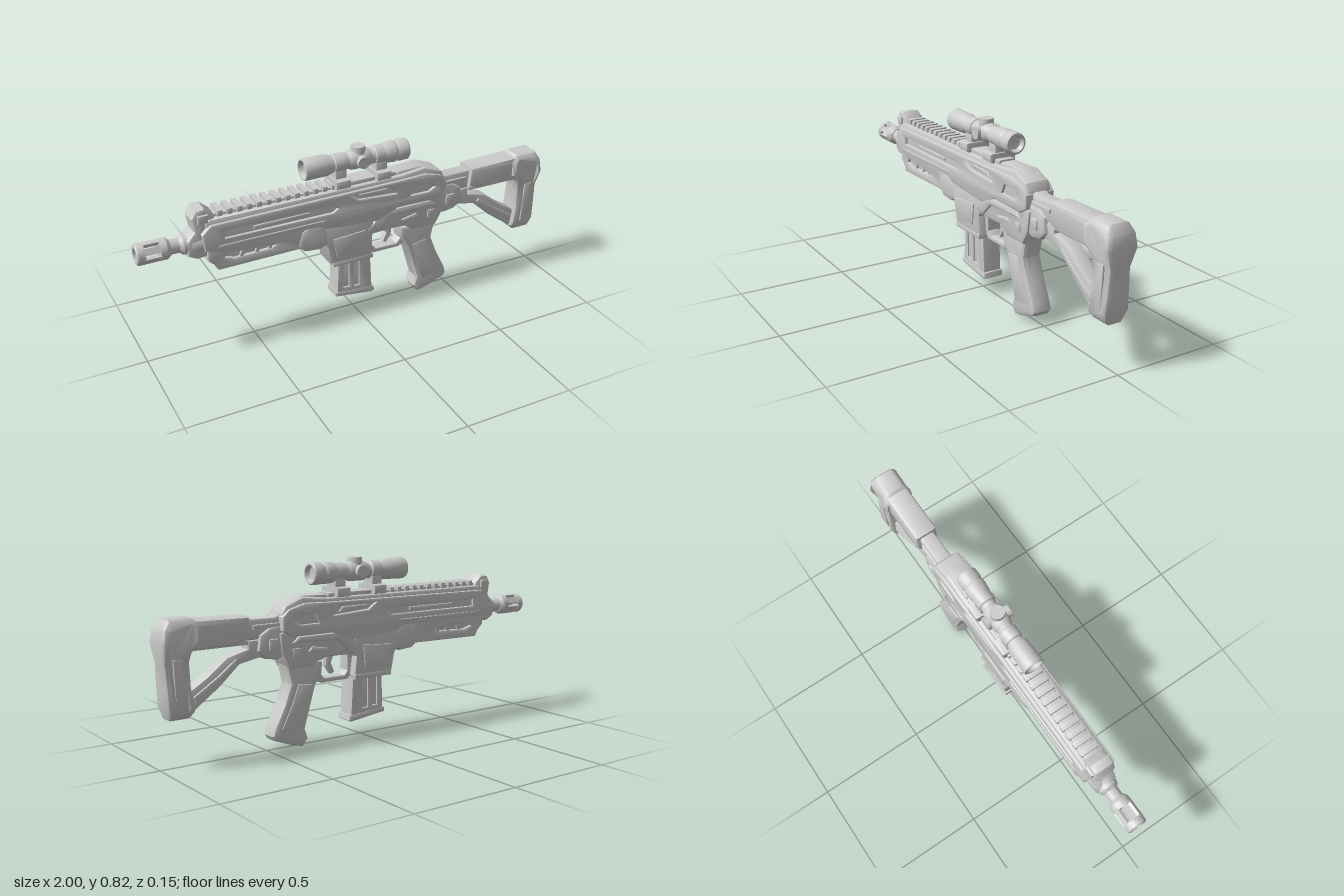
import * as THREE from 'three';
import { toCreasedNormals } from 'three/addons/utils/BufferGeometryUtils.js';

export function createModel() {
  const model = new THREE.Group();
  const metal = new THREE.MeshStandardMaterial({ color: 0xcccccc });
  metal.name = 'light grey metal';

  const add = (name, geo) => {
    const mesh = new THREE.Mesh(toCreasedNormals(geo, 0.6), metal);
    mesh.name = name;
    model.add(mesh);
  };
  const vecs = (pts) => pts.map(([x, y]) => new THREE.Vector2(x, y));

  // Side profile extruded across z, bevelled inwards, with optional openings
  const slab = (name, pts, half, bevel = 0.012, holes = [], reshape = null) => {
    const shape = new THREE.Shape(vecs(pts));
    holes.forEach((h) => shape.holes.push(new THREE.Path(vecs(h))));
    const geo = new THREE.ExtrudeGeometry(shape, {
      depth: 2 * (half - bevel), bevelEnabled: true, bevelSize: bevel,
      bevelThickness: bevel, bevelOffset: -bevel, bevelSegments: 2,
    });
    geo.translate(0, 0, bevel - half);
    if (reshape) {
      const p = geo.attributes.position;
      for (let i = 0; i < p.count; i++) p.setZ(i, p.getZ(i) * reshape(p.getY(i)));
    }
    add(name, geo);
  };
  const rect = (x0, x1, y0, y1) => [[x0, y0], [x1, y0], [x1, y1], [x0, y1]];

  // Turned part along x; profile is [x, radius]
  const turned = (name, profile, y, sides = 20) => {
    const geo = new THREE.LatheGeometry(profile.map(([x, r]) => new THREE.Vector2(r, x)), sides);
    add(name, geo.rotateZ(-Math.PI / 2).translate(0, y, 0));
  };

  // Barrel and slotted muzzle
  const boreY = 0.535;
  turned('barrel', [[-0.87, 0], [-0.87, 0.038], [-0.855, 0.032], [-0.815, 0.032], [-0.8, 0.045],
    [-0.78, 0.045], [-0.765, 0.055], [-0.7, 0.06], [-0.7, 0]], boreY);
  turned('muzzleTip', [[-1, 0.03], [-1, 0.043], [-0.995, 0.047], [-0.965, 0.047], [-0.965, 0.03], [-1, 0.03]], boreY);
  turned('muzzleBase', [[-0.9, 0], [-0.9, 0.047], [-0.87, 0.047], [-0.855, 0.036], [-0.855, 0]], boreY);
  for (let i = 0; i < 6; i++) {
    const geo = new THREE.BoxGeometry(0.08, 0.014, 0.03);
    add('muzzleBar', geo.translate(-0.932, 0.038, 0).rotateX((i * Math.PI) / 3).translate(0, boreY, 0));
  }

  // Front sight block
  slab('frontSight', [[-0.79, 0.49], [-0.79, 0.56], [-0.755, 0.6], [-0.765, 0.66], [-0.745, 0.695],
    [-0.705, 0.7], [-0.665, 0.665], [-0.65, 0.62], [-0.65, 0.48], [-0.75, 0.47]], 0.05, 0.018);
  slab('frontSightBolt', rect(-0.74, -0.695, 0.635, 0.675), 0.06, 0.008);

  // Upper receiver: inner core, then an outer shell whose openings make recesses
  slab('upperCore', [[-0.71, 0.48], [-0.71, 0.635], [-0.69, 0.65], [0.22, 0.655], [0.345, 0.668], [0.43, 0.635],
    [0.45, 0.6], [0.44, 0.44], [0, 0.42]], 0.06, 0.016);
  slab('upperShell', [[-0.72, 0.51], [-0.73, 0.59], [-0.69, 0.628], [0.22, 0.638], [0.34, 0.642], [0.42, 0.62],
    [0.452, 0.59], [0.452, 0.53], [0.4, 0.5], [0.2, 0.505], [0.1, 0.46], [-0.16, 0.48], [-0.2, 0.5]], 0.072, 0.008, [
    [[-0.63, 0.555], [-0.13, 0.555], [-0.105, 0.57], [-0.125, 0.588], [-0.63, 0.588]],
    [[-0.04, 0.618], [0, 0.59], [0.19, 0.578], [0.155, 0.618]],
    [[0.265, 0.55], [0.36, 0.55], [0.39, 0.567], [0.365, 0.592], [0.285, 0.592]],
  ]);
  slab('slotRod', rect(-0.5, -0.24, 0.563, 0.58), 0.066, 0.006);
  slab('sideRib', [[-0.66, 0.515], [-0.2, 0.515], [-0.17, 0.53], [-0.66, 0.53]], 0.076, 0.006);
  slab('portCover', [[0, 0.612], [0.02, 0.598], [0.16, 0.59], [0.14, 0.612]], 0.065, 0.005);

  // Toothed top rail
  slab('topRail', rect(-0.67, 0.36, 0.635, 0.663), 0.036, 0.006);
  for (let i = 0; i < 13; i++) {
    const x = -0.65 + i * 0.044;
    slab('railTooth', rect(x, x + 0.025, 0.645, 0.675), 0.044, 0.005);
  }
  slab('railRear', rect(-0.07, 0.2, 0.645, 0.672), 0.042, 0.006);
  slab('rearHump', [[0.2, 0.64], [0.21, 0.668], [0.34, 0.672], [0.39, 0.65], [0.4, 0.63]], 0.04, 0.008);

  // Lower handguard with long ribbed recess
  slab('handguardCore', [[-0.69, 0.43], [-0.69, 0.51], [-0.2, 0.51], [-0.2, 0.41], [-0.65, 0.41]], 0.045, 0.012);
  slab('handguard', [[-0.71, 0.455], [-0.71, 0.51], [-0.26, 0.515], [-0.26, 0.405], [-0.665, 0.4], [-0.68, 0.43]],
    0.06, 0.014, [[[-0.63, 0.458], [-0.59, 0.445], [-0.42, 0.45], [-0.4, 0.462], [-0.42, 0.474], [-0.62, 0.474]]]);
  [-0.57, -0.5, -0.44].forEach((x) =>
    slab('recessRib', [[x, 0.435], [x + 0.02, 0.435], [x + 0.035, 0.48], [x + 0.015, 0.48]], 0.054, 0.005));
  slab('handguardCollar', [[-0.3, 0.42], [-0.28, 0.49], [-0.24, 0.515], [-0.15, 0.51], [-0.14, 0.4], [-0.19, 0.38],
    [-0.26, 0.385]], 0.07, 0.024);

  // Lower receiver and magazine well
  slab('lowerReceiver', [[-0.19, 0.5], [-0.16, 0.4], [0.07, 0.39], [0.24, 0.395], [0.29, 0.36], [0.41, 0.36],
    [0.45, 0.43], [0.46, 0.52], [0.4, 0.54], [0, 0.52]], 0.06, 0.014);
  slab('magazineWell', [[-0.2, 0.47], [-0.175, 0.5], [0.07, 0.49], [0.09, 0.42], [0.065, 0.38], [0.078, 0.29],
    [0.065, 0.275], [-0.125, 0.275], [-0.14, 0.295], [-0.155, 0.37]], 0.067, 0.018);
  slab('wellPanel', [[-0.13, 0.42], [0.03, 0.43], [0.02, 0.33], [-0.11, 0.32]], 0.072, 0.004);
  slab('wellLip', rect(-0.13, 0.075, 0.275, 0.3), 0.07, 0.008);
  slab('sideBrace', [[0.04, 0.42], [0.12, 0.5], [0.37, 0.5], [0.4, 0.475], [0.17, 0.465], [0.1, 0.4]], 0.07, 0.01);
  slab('selector', [[0.22, 0.435], [0.3, 0.45], [0.32, 0.43], [0.23, 0.415]], 0.067, 0.006);
  slab('rearPin', rect(0.36, 0.4, 0.41, 0.45), 0.066, 0.008);

  // Magazine with long grooves
  slab('magazine', [[-0.093, 0.3], [-0.1, 0.11], [0.082, 0.09], [0.07, 0.3]], 0.046, 0.008,
    [rect(-0.065, -0.04, 0.14, 0.28), rect(-0.012, 0.013, 0.135, 0.28)]);
  slab('magazineCore', [[-0.08, 0.3], [-0.085, 0.12], [0.07, 0.1], [0.06, 0.3]], 0.038, 0.006);
  slab('magazineFoot', [[-0.108, 0.125], [-0.108, 0.1], [0.08, 0.077], [0.094, 0.085], [0.09, 0.11]], 0.05, 0.01);

  // Trigger and guard
  slab('triggerGuard', [[0.06, 0.4], [0.065, 0.3], [0.09, 0.275], [0.23, 0.275], [0.27, 0.3], [0.27, 0.4]], 0.03, 0.005,
    [[[0.09, 0.388], [0.09, 0.315], [0.108, 0.295], [0.215, 0.295], [0.238, 0.32], [0.232, 0.375], [0.21, 0.388]]]);
  slab('trigger', [[0.155, 0.395], [0.17, 0.355], [0.152, 0.315], [0.168, 0.305], [0.195, 0.345], [0.195, 0.395]], 0.016, 0.004);

  // Pistol grip
  slab('grip', [[0.23, 0.38], [0.235, 0.32], [0.27, 0.27], [0.325, 0.085], [0.31, 0.04], [0.335, 0.004], [0.375, 0.012],
    [0.48, 0.05], [0.492, 0.07], [0.485, 0.1], [0.435, 0.2], [0.4, 0.29], [0.42, 0.38]], 0.048, 0.02);
  slab('gripPanel', [[0.29, 0.28], [0.35, 0.075], [0.45, 0.1], [0.395, 0.21], [0.365, 0.29]], 0.052, 0.006);

  // Stock hinge, tube and cheek piece
  slab('stockHinge', [[0.42, 0.42], [0.42, 0.56], [0.5, 0.55], [0.55, 0.52], [0.56, 0.45], [0.52, 0.415], [0.46, 0.405]], 0.05, 0.018);
  slab('hingePin', rect(0.465, 0.51, 0.45, 0.5), 0.058, 0.01);
  slab('stockTube', [[0.42, 0.51], [0.42, 0.61], [0.47, 0.59], [0.87, 0.595], [0.87, 0.5], [0.54, 0.5]], 0.036, 0.012);
  slab('tubeRib', rect(0.44, 0.58, 0.545, 0.565), 0.044, 0.006);
  slab('cheekPiece', [[0.59, 0.51], [0.6, 0.605], [0.85, 0.61], [0.87, 0.59], [0.87, 0.49], [0.66, 0.49]], 0.057, 0.02);
  slab('cheekRail', rect(0.6, 0.87, 0.483, 0.502), 0.035, 0.006);

  // Lower strut of the stock
  slab('stockStrut', [[0.52, 0.5], [0.53, 0.425], [0.64, 0.405], [0.73, 0.325], [0.87, 0.225], [0.89, 0.31],
    [0.79, 0.37], [0.7, 0.44], [0.6, 0.465], [0.6, 0.5]], 0.034, 0.01);
  slab('strutRib', [[0.65, 0.415], [0.74, 0.345], [0.85, 0.27], [0.86, 0.295], [0.75, 0.365], [0.66, 0.432]], 0.041, 0.006);

  // Butt pad, its width changing with height
  const widths = [[0.2, 0.5], [0.26, 0.8], [0.34, 0.74], [0.44, 0.66], [0.52, 1], [0.58, 0.9], [0.63, 0.6]];
  const buttWidth = (y) => {
    const i = Math.max(1, widths.findIndex(([h]) => h >= y));
    const [[y0, w0], [y1, w1]] = [widths[i - 1], widths[i]];
    return w0 + ((w1 - w0) * (y - y0)) / (y1 - y0);
  };
  slab('buttPad', [[0.855, 0.235], [0.88, 0.21], [0.965, 0.21], [0.98, 0.26], [0.985, 0.34], [0.99, 0.44], [1, 0.52],
    [0.992, 0.58], [0.965, 0.62], [0.86, 0.62], [0.825, 0.59], [0.83, 0.52], [0.868, 0.48], [0.875, 0.44], [0.872, 0.34],
    [0.86, 0.26]], 0.076, 0.022, [], buttWidth);
  slab('buttInset', [[0.905, 0.26], [0.945, 0.26], [0.955, 0.46], [0.915, 0.46]], 0.059, 0.006);

  // Telescopic sight with recessed ends
  const scopeY = 0.757;
  turned('scope', [[-0.215, 0], [-0.22, 0.036], [-0.242, 0.042], [-0.242, 0.048], [-0.235, 0.05], [-0.13, 0.048],
    [-0.1, 0.037], [0.13, 0.037], [0.155, 0.046], [0.2, 0.05], [0.21, 0.045], [0.225, 0.05], [0.265, 0.049],
    [0.27, 0.045], [0.27, 0.038], [0.25, 0.03], [0.245, 0]], scopeY);
  const turret = new THREE.CylinderGeometry(0.033, 0.036, 0.065, 14);
  add('topTurret', turret.translate(0.028, 0.787, 0));
  const sideTurret = new THREE.CylinderGeometry(0.028, 0.028, 0.12, 14).rotateX(Math.PI / 2);
  add('sideTurrets', sideTurret.translate(0.028, scopeY, 0));
  turned('turretCollar', [[-0.03, 0.036], [-0.01, 0.045], [0.065, 0.045], [0.085, 0.036]], scopeY);

  // Scope mounts with clamps
  [-0.072, 0.13].forEach((x) => {
    turned('mountRing', [[x - 0.03, 0.036], [x - 0.025, 0.043], [x + 0.025, 0.043], [x + 0.03, 0.036]], scopeY);
    slab('mountPost', rect(x - 0.028, x + 0.028, 0.66, 0.735), 0.036, 0.008);
    slab('mountClamp', rect(x - 0.038, x + 0.038, 0.652, 0.695), 0.066, 0.014);
  });
  return model;
}
